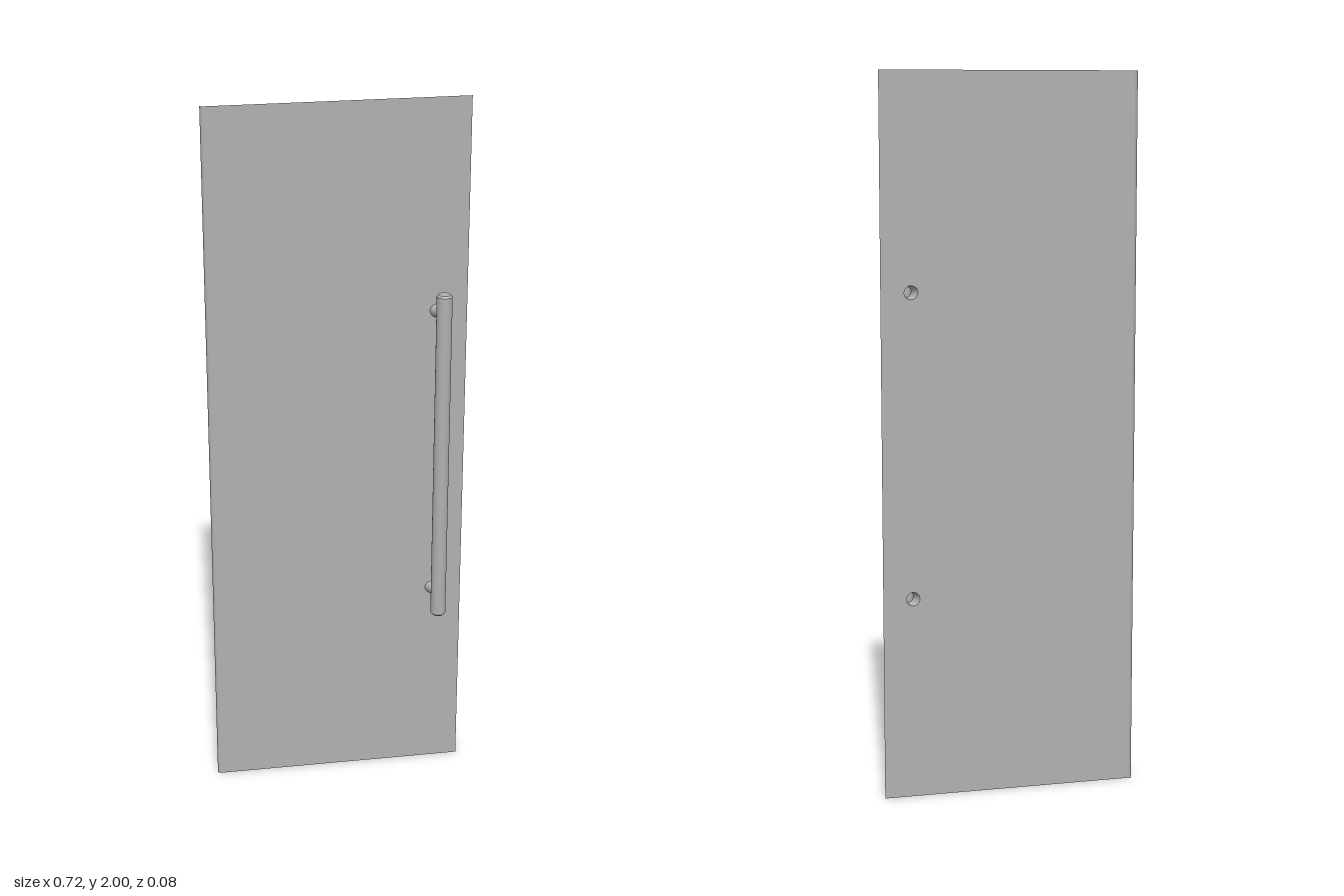
import * as THREE from 'three';

export function createModel() {
  const door = new THREE.Group();
  door.name = 'door';
  const grey = new THREE.MeshStandardMaterial({ color: 0xb0b0b0 });
  grey.name = 'grey';
  const greySheet = grey;
  greySheet.side = THREE.DoubleSide;

  const add = (name, geometry) => {
    const mesh = new THREE.Mesh(geometry, grey);
    mesh.name = name;
    door.add(mesh);
    return mesh;
  };

  const panelZ = -0.031;
  const postHeights = [0.565, 1.41];
  const rootX = 0.273, rootR = 0.019;

  // Thin sheet, open behind each hollow handle post
  const sheet = new THREE.Shape();
  sheet.moveTo(-0.351, 0);
  sheet.lineTo(0.357, 0);
  sheet.lineTo(0.357, 2);
  sheet.lineTo(-0.351, 2);
  sheet.closePath();
  for (const y of postHeights) {
    const hole = new THREE.Path();
    hole.absarc(rootX, y, rootR, 0, Math.PI * 2, true);
    sheet.holes.push(hole);
  }
  add('panel', new THREE.ShapeGeometry(sheet, 12)).position.z = panelZ;

  // Small lip curling backwards along the hinge edge
  const lip = new THREE.PlaneGeometry(1, 2, 4, 1);
  const p = lip.attributes.position;
  for (let i = 0; i < p.count; i++) {
    const t = 0.5 - p.getX(i);
    p.setXYZ(i, -0.351 - 0.007 * t, p.getY(i) + 1, panelZ - 0.008 * t * t);
  }
  lip.computeVertexNormals();
  add('hingeLip', lip);

  // Round pull bar with softened ends
  const r = 0.0215, low = 0.503, high = 1.472, bevel = 0.005;
  const profile = [
    [0, low], [r - bevel, low], [r - bevel, low], [r, low + bevel], [r, low + bevel],
    [r, high - bevel], [r, high - bevel], [r - bevel, high], [r - bevel, high], [0, high],
  ].map(([x, y]) => new THREE.Vector2(x, y));
  add('handleBar', new THREE.LatheGeometry(profile, 24)).position.set(0.283, 0, 0.018);

  // Hollow posts flaring towards the panel
  for (const y of postHeights) {
    const post = new THREE.CylinderGeometry(1, 1, 1, 24, 5, true);
    post.rotateX(Math.PI / 2);
    const q = post.attributes.position;
    for (let i = 0; i < q.count; i++) {
      const t = q.getZ(i) + 0.5;
      const ease = 1 - (1 - t) ** 2;
      const radius = rootR - 0.005 * ease;
      q.setXYZ(i,
        rootX + 0.006 * ease + q.getX(i) * radius,
        y + q.getY(i) * radius,
        panelZ + t * 0.036);
    }
    post.computeVertexNormals();
    add('handlePost', post);
  }
  return door;
}
